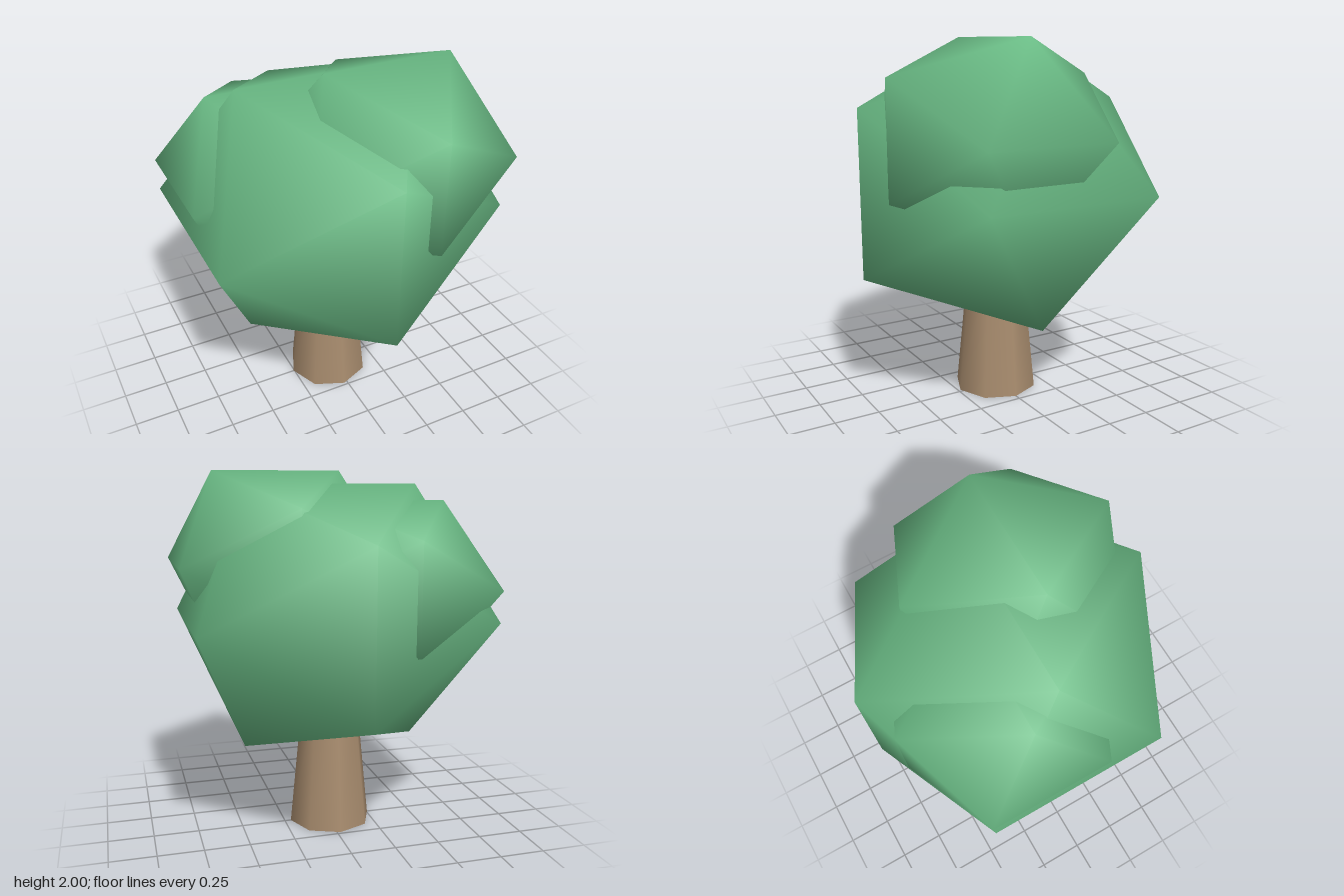
import * as THREE from 'three';
import { mergeVertices } from 'three/addons/utils/BufferGeometryUtils.js';

export function createModel() {
  const tree = new THREE.Group();
  tree.name = 'tree';

  const leafGreen = new THREE.MeshStandardMaterial({ color: 0x6abb85 });
  leafGreen.name = 'leaf green';
  const barkBrown = new THREE.MeshStandardMaterial({ color: 0xa88c6e });
  barkBrown.name = 'bark brown';

  // Tapered eight-sided trunk, its top hidden in the crown
  const trunkHeight = 0.72;
  const trunk = new THREE.Mesh(new THREE.CylinderGeometry(0.163, 0.235, trunkHeight, 8), barkBrown);
  trunk.name = 'trunk';
  trunk.position.set(-0.02, trunkHeight / 2, 0);
  tree.add(trunk);

  // Foliage clump: a squashed icosahedron with shared, smooth normals
  function addClump(name, radius, squash, x, y, z) {
    let geometry = new THREE.IcosahedronGeometry(radius, 0);
    geometry.deleteAttribute('normal');
    geometry.deleteAttribute('uv');
    geometry = mergeVertices(geometry);
    geometry.scale(1, squash, 1);
    geometry.computeVertexNormals();
    const clump = new THREE.Mesh(geometry, leafGreen);
    clump.name = name;
    clump.position.set(x, y, z);
    tree.add(clump);
  }
  addClump('mainFoliage', 0.942, 0.905, -0.02, 1.205, 0);
  addClump('frontFoliage', 0.684, 0.852, 0.238, 1.505, 0.17);
  addClump('backFoliage', 0.64, 0.85, -0.278, 1.378, -0.175);

  return tree;
}
